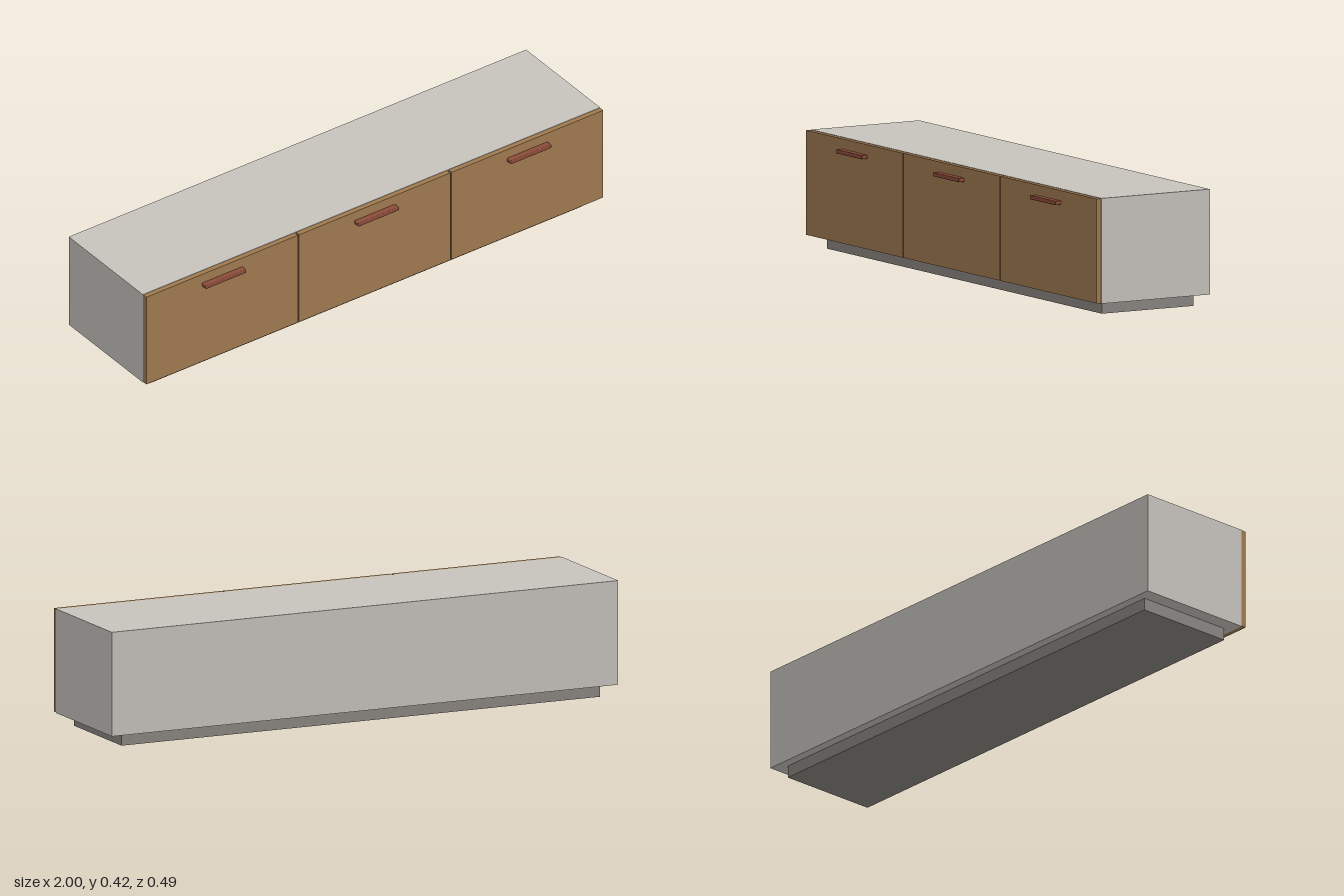
import * as THREE from 'three';
import { RoundedBoxGeometry } from 'three/addons/geometries/RoundedBoxGeometry.js';

const material = (name, color) => {
  const m = new THREE.MeshStandardMaterial({ color });
  m.name = name;
  return m;
};

export function createModel() {
  const panelGrey = material('panelGrey', 0xc6c2bc);
  const plinthGrey = material('plinthGrey', 0x8a8581);
  const wood = material('wood', 0xa07a50);
  const handleRed = material('handleRed', 0x8c4c3a);

  const model = new THREE.Group();
  model.name = 'lowCabinet';

  // Adds a board spanning the given [min, max] ranges; radius rounds its edges
  const board = (name, mat, [x0, x1], [y0, y1], [z0, z1], radius = 0) => {
    const size = [x1 - x0, y1 - y0, z1 - z0];
    const geometry = radius
      ? new RoundedBoxGeometry(...size, 2, radius)
      : new THREE.BoxGeometry(...size);
    const mesh = new THREE.Mesh(geometry, mat);
    mesh.name = name;
    mesh.position.set((x0 + x1) / 2, (y0 + y1) / 2, (z0 + z1) / 2);
    model.add(mesh);
  };

  const bottom = 0.045, top = 0.422, back = -0.245, front = 0.202, t = 0.02;

  // Recessed plinth
  board('plinth', plinthGrey, [-0.945, 0.945], [0, bottom], [-0.211, 0.168]);

  // Carcass: sides run full height, the other panels sit between them
  const inner = [-1 + t, 1 - t];
  board('rightSide', panelGrey, [-1, -1 + t], [bottom, top], [back, front]);
  board('leftSide', panelGrey, [1 - t, 1], [bottom, top], [back, front]);
  board('topPanel', panelGrey, inner, [top - t, top], [back, front]);
  board('bottomPanel', panelGrey, inner, [bottom, bottom + t], [back, front]);
  board('backPanel', panelGrey, inner, [bottom + t, top - t], [back, back + t]);

  // Three fronts with narrow gaps, each with a bar handle
  const pitch = 2 / 3, gap = 0.003;
  const handleX = [-0.667, 0, 0.667];
  for (let i = 0; i < 3; i++) {
    const x0 = -1 + i * pitch + (i > 0 ? gap : 0.001);
    const x1 = -1 + (i + 1) * pitch - (i < 2 ? gap : 0.001);
    board(`drawerFront${i + 1}`, wood, [x0, x1], [0.047, 0.421], [0.203, 0.222]);
    board(`handle${i + 1}`, handleRed,
      [handleX[i] - 0.089, handleX[i] + 0.089], [0.37, 0.385], [0.221, 0.246], 0.003);
  }

  return model;
}
